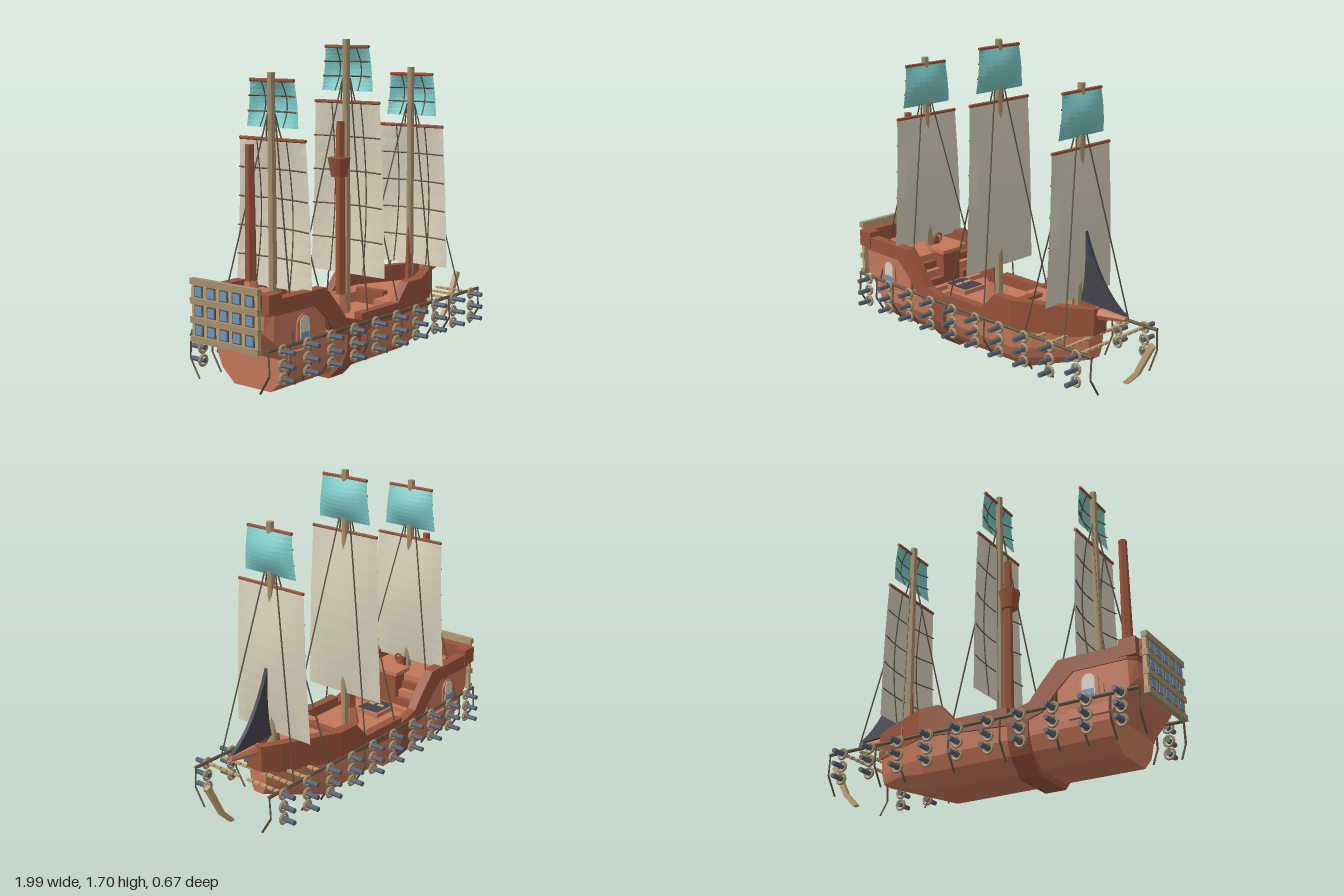
import * as THREE from 'three';

const mat = (name, color, double = false) => {
  const m = new THREE.MeshStandardMaterial({ color, flatShading: true, side: double ? THREE.DoubleSide : THREE.FrontSide });
  m.name = name;
  return m;
};

export function createModel() {
  const ship = new THREE.Group();
  ship.name = 'sailingShip';
  const M = {
    hull: mat('hullBrown', 0xc4775a), trim: mat('trimBrown', 0x97533b), mast: mat('mastTan', 0xa5906f),
    rope: mat('ropeOlive', 0x5f5644), cream: mat('sailCream', 0xd8d0bc, true), teal: mat('sailTeal', 0x7cc9c5, true),
    dark: mat('darkGrey', 0x42424d), iron: mat('cannonIron', 0x566270), glass: mat('windowBlue', 0x6b96c4),
    tan: mat('lightTan', 0xbd9f70),
  };
  const V = (x, y, z) => new THREE.Vector3(x, y, z);
  const add = (name, geo, m, x = 0, y = 0, z = 0) => {
    const mesh = new THREE.Mesh(geo, m);
    mesh.name = name;
    mesh.position.set(x, y, z);
    ship.add(mesh);
    return mesh;
  };
  // box given by its limits
  const box = (name, m, x0, x1, y0, y1, z0, z1) =>
    add(name, new THREE.BoxGeometry(x1 - x0, y1 - y0, z1 - z0), m, (x0 + x1) / 2, (y0 + y1) / 2, (z0 + z1) / 2);
  // straight round bar between two points
  const rod = (name, m, a, b, r, r2 = r, sides = 6) => {
    const d = b.clone().sub(a);
    const mesh = add(name, new THREE.CylinderGeometry(r2, r, d.length(), sides), m);
    mesh.position.copy(a).add(b).multiplyScalar(0.5);
    mesh.quaternion.setFromUnitVectors(V(0, 1, 0), d.normalize());
    return mesh;
  };
  // skin over convex rings of [x, y, z], running towards +x, with end caps
  const loft = (name, m, rings) => {
    const p = [], n = rings[0].length;
    for (let s = 0; s < rings.length - 1; s++) {
      const a = rings[s], b = rings[s + 1];
      for (let i = 0; i < n; i++) {
        const j = (i + 1) % n;
        p.push(...a[i], ...b[i], ...b[j], ...a[i], ...b[j], ...a[j]);
      }
    }
    const first = rings[0], last = rings[rings.length - 1];
    for (let i = 1; i < n - 1; i++) {
      p.push(...first[0], ...first[i], ...first[i + 1], ...last[0], ...last[i + 1], ...last[i]);
    }
    const g = new THREE.BufferGeometry();
    g.setAttribute('position', new THREE.Float32BufferAttribute(p, 3));
    g.computeVertexNormals();
    return add(name, g, m);
  };
  // symmetric body: each station is [x, [y, halfWidth], ...] from keel to deck
  const body = (name, m, stations) => loft(name, m, stations.map(([x, ...h]) =>
    [...h.map(([y, w]) => [x, y, w]), ...h.slice().reverse().map(([y, w]) => [x, y, -w])]));
  // pair of walls: stations are [x, y0, y1, outerZ, innerZ]
  const walls = (name, m, stations) => {
    for (const s of [1, -1]) {
      loft(name, m, stations.map(([x, y0, y1, o, i]) => {
        const r = [[x, y0, o * s], [x, y1, o * s], [x, y1, i * s], [x, y0, i * s]];
        return s > 0 ? r : r.reverse();
      }));
    }
  };

  // hull, stern castle and foredeck
  const mid = [[0.03, 0.12], [0.1, 0.2], [0.17, 0.232], [0.28, 0.24]];
  body('hull', M.hull, [[-0.8, ...mid], [0.26, ...mid],
    [0.45, [0.093, 0.075], [0.14, 0.13], [0.19, 0.15], [0.28, 0.16]],
    [0.625, [0.15, 0.03], [0.17, 0.04], [0.2, 0.05], [0.28, 0.06]]]);
  body('hullBand', M.trim, [-0.37, -0.255].map(x => [x, [0, 0.125], [0.09, 0.212], [0.16, 0.243], [0.25, 0.25]]));
  body('sternCastle', M.hull, [[-0.935, [0.355, 0.2], [0.46, 0.21]], [-0.9, [0.31, 0.235], [0.46, 0.24]],
    [-0.8, [0.2, 0.236], [0.46, 0.242]], [-0.53, [0.2, 0.236], [0.46, 0.242]]]);
  body('foredeck', M.hull, [[0.14, [0.27, 0.22], [0.34, 0.22]], [0.27, [0.27, 0.22], [0.34, 0.22]],
    [0.62, [0.27, 0.04], [0.34, 0.04]]]);

  // bulwarks
  walls('foreBulwark', M.trim, [[-0.255, 0.24, 0.335, 0.25, 0.2], [0.05, 0.26, 0.335, 0.25, 0.2],
    [0.14, 0.27, 0.43, 0.25, 0.195], [0.26, 0.27, 0.43, 0.25, 0.19], [0.56, 0.275, 0.43, 0.105, 0.05],
    [0.652, 0.29, 0.43, 0.05, 0]]);
  walls('aftBulwark', M.trim, [[-0.94, 0.44, 0.516, 0.22, 0.17], [-0.9, 0.44, 0.516, 0.248, 0.19],
    [-0.62, 0.44, 0.516, 0.25, 0.19], [-0.54, 0.37, 0.516, 0.25, 0.19], [-0.45, 0.27, 0.42, 0.25, 0.195],
    [-0.38, 0.25, 0.335, 0.25, 0.2], [-0.255, 0.25, 0.3, 0.25, 0.2]]);
  box('sternRail', M.trim, -0.96, -0.905, 0.455, 0.545, -0.21, 0.21);
  for (const s of [1, -1]) {
    const zb = (name, m, x0, x1, y0, y1, a, b) => box(name, m, x0, x1, y0, y1, Math.min(a * s, b * s), Math.max(a * s, b * s));
    zb('sternRailSide', M.trim, -0.95, -0.86, 0.455, 0.545, 0.185, 0.253);
    zb('sideLedge', M.hull, -0.8, -0.59, 0.2, 0.247, 0.2, 0.255);
    zb('deckLocker', M.hull, 0.04, 0.14, 0.27, 0.335, 0.095, 0.2);
    // steps to the quarterdeck
    for (let i = 0; i < 4; i++) zb('step', i % 2 ? M.hull : M.trim, -0.53, -0.5 + i * 0.033, 0.27, 0.425 - i * 0.04, 0.07, 0.19);
    // arched side window
    const arch = (w, h) => {
      const sh = new THREE.Shape();
      sh.moveTo(-w, 0);
      sh.lineTo(w, 0);
      sh.lineTo(w, h);
      sh.absarc(0, h, w, 0, Math.PI, false);
      return sh;
    };
    const plate = (name, m, w, h, y, off) => add(name, new THREE.ExtrudeGeometry(arch(w, h),
      { depth: 0.008, bevelEnabled: false, curveSegments: 5 }), m, -0.7, y, s * (0.243 + off) - 0.004);
    plate('windowFrame', M.hull, 0.052, 0.075, 0.29, 0.004);
    plate('windowPane', M.cream, 0.034, 0.075, 0.3, 0.007);
    zb('windowGlass', M.glass, -0.73, -0.67, 0.3, 0.33, 0.25, 0.257);
  }

  // deck fittings
  box('porch', M.trim, -0.56, -0.45, 0.27, 0.47, -0.06, 0.06);
  box('porchRoof', M.hull, -0.57, -0.44, 0.47, 0.49, -0.07, 0.07);
  box('helmStand', M.trim, -0.6, -0.57, 0.46, 0.53, -0.02, 0.02);
  add('helmWheel', new THREE.TorusGeometry(0.025, 0.006, 5, 10), M.trim, -0.56, 0.53, 0).rotation.y = Math.PI / 2;
  box('foredeckStep', M.trim, 0.125, 0.17, 0.27, 0.36, -0.09, 0.09);
  box('hatchFrame', M.hull, -0.435, -0.255, 0.27, 0.305, -0.08, 0.08);
  box('hatchOpening', M.dark, -0.42, -0.27, 0.3, 0.308, -0.065, 0.065);
  for (const s of [1, -1]) box('hatchPlank', M.tan, -0.365, -0.345, 0.304, 0.313, s * 0.03 - 0.02, s * 0.03 + 0.02);

  // brown poles and lookout basket
  for (const [x, y0, y1] of [[-0.8, 0.46, 1.215], [-0.12, 0.28, 1.285]]) {
    rod('poleBase', M.hull, V(x, y0, 0), V(x, y0 + 0.1, 0), 0.05, 0.032);
    rod('pole', M.trim, V(x, y0, 0), V(x, y1, 0), 0.03, 0.022);
  }
  rod('forePole', M.trim, V(0.49, 0.34, 0), V(0.49, 0.66, 0), 0.025, 0.01);
  rod('lookoutBasket', M.trim, V(-0.13, 1, 0), V(-0.13, 1.1, 0), 0.042, 0.06, 8);

  // masts with yards, sails, battens and shrouds
  const sail = (name, m, x, top, bottom, wTop, wBottom, bulge, rows) => {
    const at = (u, v, off = 0) => V(x + off + bulge * Math.sin(Math.PI * v) * (1 - u * u * 0.85),
      top + (bottom - top) * v, u * (wTop + (wBottom - wTop) * v));
    const g = new THREE.PlaneGeometry(2, 1, 8, 10), p = g.attributes.position;
    for (let i = 0; i < p.count; i++) {
      const q = at(p.getX(i), 0.5 - p.getY(i));
      p.setXYZ(i, q.x, q.y, q.z);
    }
    g.computeVertexNormals();
    add(name, g, m);
    rod(name + 'Yard', M.trim, V(x, top, -wTop), V(x, top, wTop), 0.009);
    const t = [...Array(9).keys()].map(i => i / 8);
    const lines = [-0.45, 0.45].map(u => t.map(v => at(u, v, -0.007)));
    for (let r = 1; r < rows; r++) lines.push(t.map(k => at(k * 2 - 1, r / rows, -0.007)));
    for (const l of lines) add(name + 'Batten', new THREE.TubeGeometry(new THREE.CatmullRomCurve3(l), 8, 0.004, 4), M.rope);
  };
  for (const [x, y0, y1, low] of [[-0.645, 0.46, 1.55, 0.5], [-0.07, 0.28, 1.705, 0.48], [0.5, 0.34, 1.55, 0.45]]) {
    rod('mast', M.mast, V(x, y0, 0), V(x, y1, 0), 0.021, 0.019, 8);
    sail('mainSail', M.cream, x + 0.005, y1 - 0.322, low, 0.213, 0.247, 0.045, 5);
    sail('topSail', M.teal, x + 0.005, y1 - 0.038, y1 - 0.265, 0.143, 0.167, 0.048, 3);
    for (const sx of [1, -1]) for (const sz of [1, -1])
      rod('shroud', M.rope, V(x, y1 - 0.2, sz * 0.025), V(x + sx * 0.135, 0.285, sz * 0.25), 0.004, 0.004, 4);
  }

  // bow spike, dark jib and bent prow beam
  rod('bowSpike', M.hull, V(0.62, 0.395, 0), V(0.82, 0.412, 0), 0.036, 0.012);
  const jib = new THREE.Shape();
  jib.moveTo(0.53, 0.44);
  jib.lineTo(0.815, 0.43);
  jib.quadraticCurveTo(0.65, 0.53, 0.55, 0.81);
  jib.quadraticCurveTo(0.565, 0.6, 0.53, 0.44);
  add('jib', new THREE.ExtrudeGeometry(jib, { depth: 0.02, bevelEnabled: false, curveSegments: 8 }), M.dark, 0, 0, -0.01);
  const prow = new THREE.Shape([[0.815, 0.08], [0.84, 0.075], [0.905, 0.14], [0.998, 0.315], [0.97, 0.33], [0.885, 0.155]]
    .map(([x, y]) => new THREE.Vector2(x, y)));
  add('prowBeam', new THREE.ExtrudeGeometry(prow, { depth: 0.026, bevelEnabled: false }), M.tan, 0, 0, -0.013);

  // side rails with struts, rings and cannons
  for (const s of [1, -1]) {
    rod('sideRail', M.rope, V(-0.96, 0.285, s * 0.253), V(0.82, 0.285, s * 0.253), 0.009);
    for (const x of [-0.958, -0.81, -0.664, -0.516, -0.22, 0.075, 0.37, 0.52, 0.816]) {
      rod('strutTop', M.rope, V(x, 0.285, s * 0.253), V(x, 0.17, s * 0.26), 0.006, 0.006, 4);
      rod('strutFoot', M.rope, V(x, 0.17, s * 0.26), V(x, 0.075, s * 0.2), 0.006, 0.006, 4);
    }
    for (let i = 0; i < 10; i++) {
      const x = -0.87 + i * 0.1775;
      for (const y of [0.272, 0.203, 0.137]) {
        add('cannonRing', new THREE.TorusGeometry(0.026, 0.008, 5, 10), M.mast, x, y, s * 0.264);
        rod('cannon', M.iron, V(x, y, s * 0.25), V(x, y, s * 0.337), 0.013, 0.013, 8);
      }
    }
  }
  // planked cross ties under the bow
  for (const x of [0.43, 0.53, 0.63, 0.73])
    for (let i = -5; i <= 5; i++) if (i) box('crossTie', M.tan, x - 0.008, x + 0.008, 0.27, 0.282, i * 0.045 - 0.018, i * 0.045 + 0.018);

  // stern gallery with rows of windows
  box('sternGallery', M.tan, -0.985, -0.965, 0.27, 0.575, -0.215, 0.215);
  for (let r = 0; r < 4; r++) box('gallerySlat', M.mast, -0.995, -0.965, 0.265 + r * 0.094, 0.295 + r * 0.094, -0.22, 0.22);
  for (let r = 0; r < 3; r++) for (let c = -2; c <= 2; c++) {
    const y = 0.327 + r * 0.094, z = c * 0.083;
    box('galleryFrame', M.rope, -0.99, -0.982, y - 0.028, y + 0.028, z - 0.028, z + 0.028);
    box('galleryPane', M.glass, -0.993, -0.985, y - 0.022, y + 0.022, z - 0.021, z + 0.021);
  }
  return ship;
}
